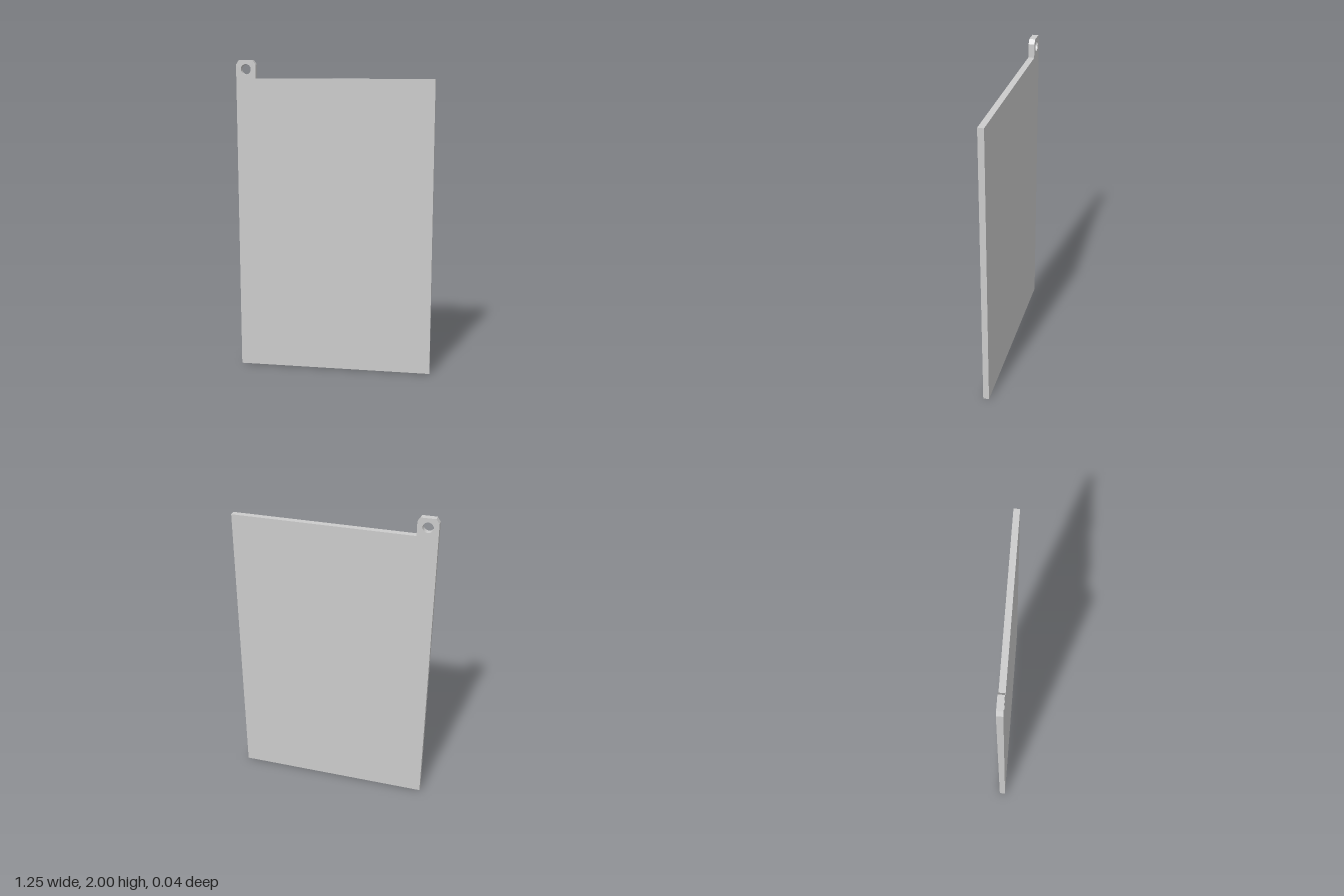
import * as THREE from 'three';

export function createModel() {
  const group = new THREE.Group();
  const halfWidth = 0.626, panelTop = 1.885, top = 2, thickness = 0.038;
  const tabRight = -0.5, chamferX = 0.019, chamferY = 0.028;

  // Panel outline with the chamfered hanging tab at its upper corner
  const outline = new THREE.Shape([
    [-halfWidth, 0],
    [halfWidth, 0],
    [halfWidth, panelTop],
    [tabRight, panelTop],
    [tabRight, top - chamferY],
    [tabRight - chamferX, top],
    [-halfWidth + chamferX, top],
    [-halfWidth, top - chamferY],
  ].map(([x, y]) => new THREE.Vector2(x, y)));

  // Round hole through the tab
  const hole = new THREE.Path();
  hole.absarc((tabRight - halfWidth) / 2, 1.943, 0.032, 0, Math.PI * 2, true);
  outline.holes.push(hole);

  const geometry = new THREE.ExtrudeGeometry(outline, {
    depth: thickness, bevelEnabled: false, curveSegments: 32,
  });
  geometry.translate(0, 0, -thickness / 2);

  const panel = new THREE.Mesh(geometry, new THREE.MeshStandardMaterial({ color: 0xcccccc }));
  panel.name = 'panelWithHangingTab';
  group.add(panel);
  return group;
}
